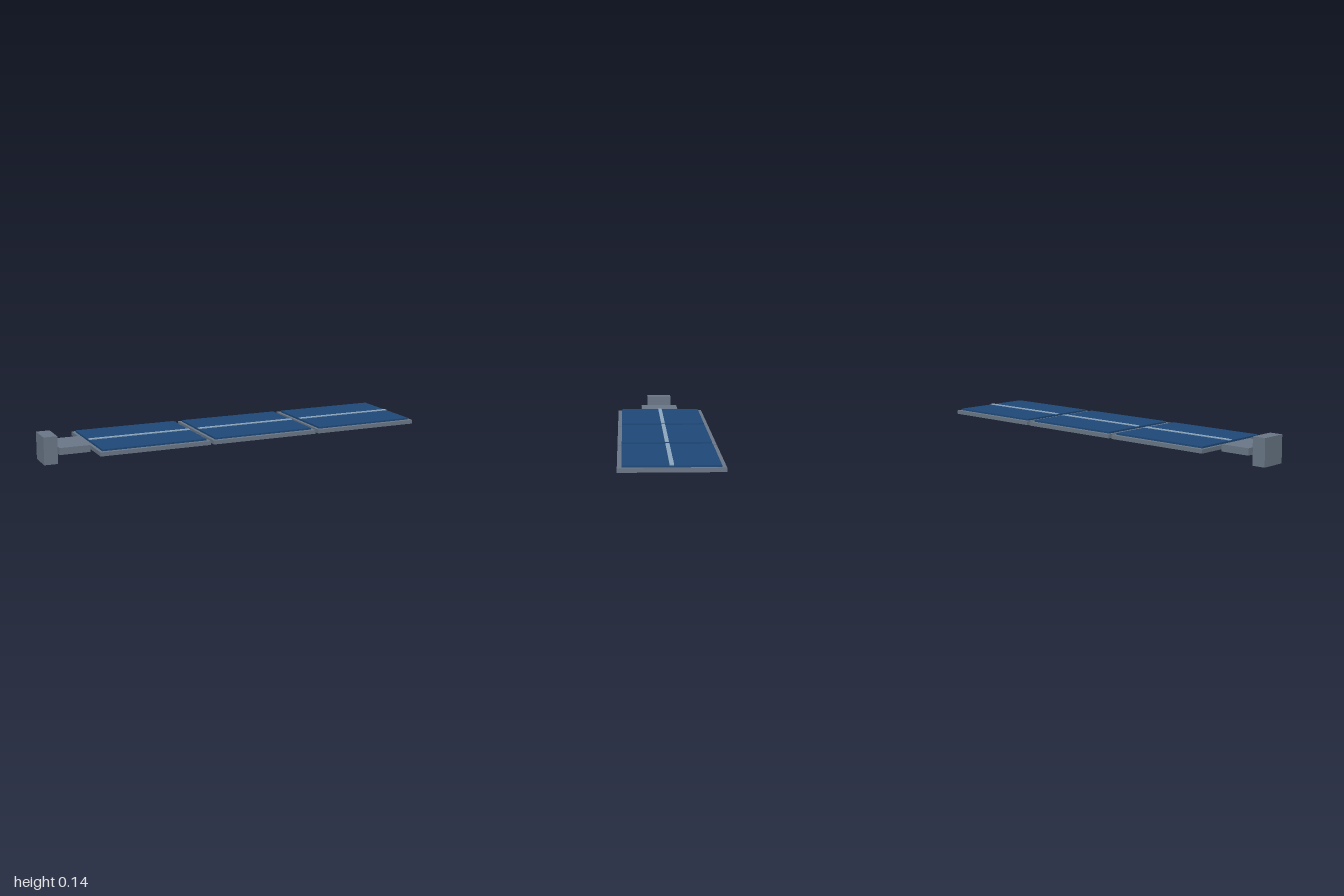
import * as THREE from 'three';

export function createModel() {
  const model = new THREE.Group();
  const material = (name, color) => {
    const m = new THREE.MeshStandardMaterial({ color });
    m.name = name;
    return m;
  };
  const grey = material('frame grey', 0x6b7888);
  const blue = material('cell blue', 0x1f4a7a);
  const silver = material('strip silver', 0x8fa9c0);

  // Box given by its centre x, its width and depth, and its bottom and top
  const addBox = (parent, name, mat, x, width, depth, bottom, top) => {
    const mesh = new THREE.Mesh(new THREE.BoxGeometry(width, top - bottom, depth), mat);
    mesh.position.set(x, (bottom + top) / 2, 0);
    mesh.name = name;
    parent.add(mesh);
  };

  // Mounting block and the hinge arm that carries the panels
  addBox(model, 'mountBlock', grey, -0.965, 0.07, 0.139, 0, 0.14);
  addBox(model, 'hingeArm', grey, -0.853, 0.156, 0.209, 0.053, 0.088);

  // Three identical solar panels in a row
  for (let i = 0; i < 3; i++) {
    const panel = new THREE.Group();
    panel.name = `solarPanel${i + 1}`;
    panel.position.x = -0.4785 + i * 0.595;
    addBox(panel, 'panelFrame', grey, 0, 0.577, 0.488, 0.061, 0.081);
    addBox(panel, 'cellSheet', blue, 0, 0.546, 0.446, 0.081, 0.09);
    addBox(panel, 'centreStrip', silver, 0, 0.544, 0.02, 0.09, 0.094);
    model.add(panel);
  }
  return model;
}
